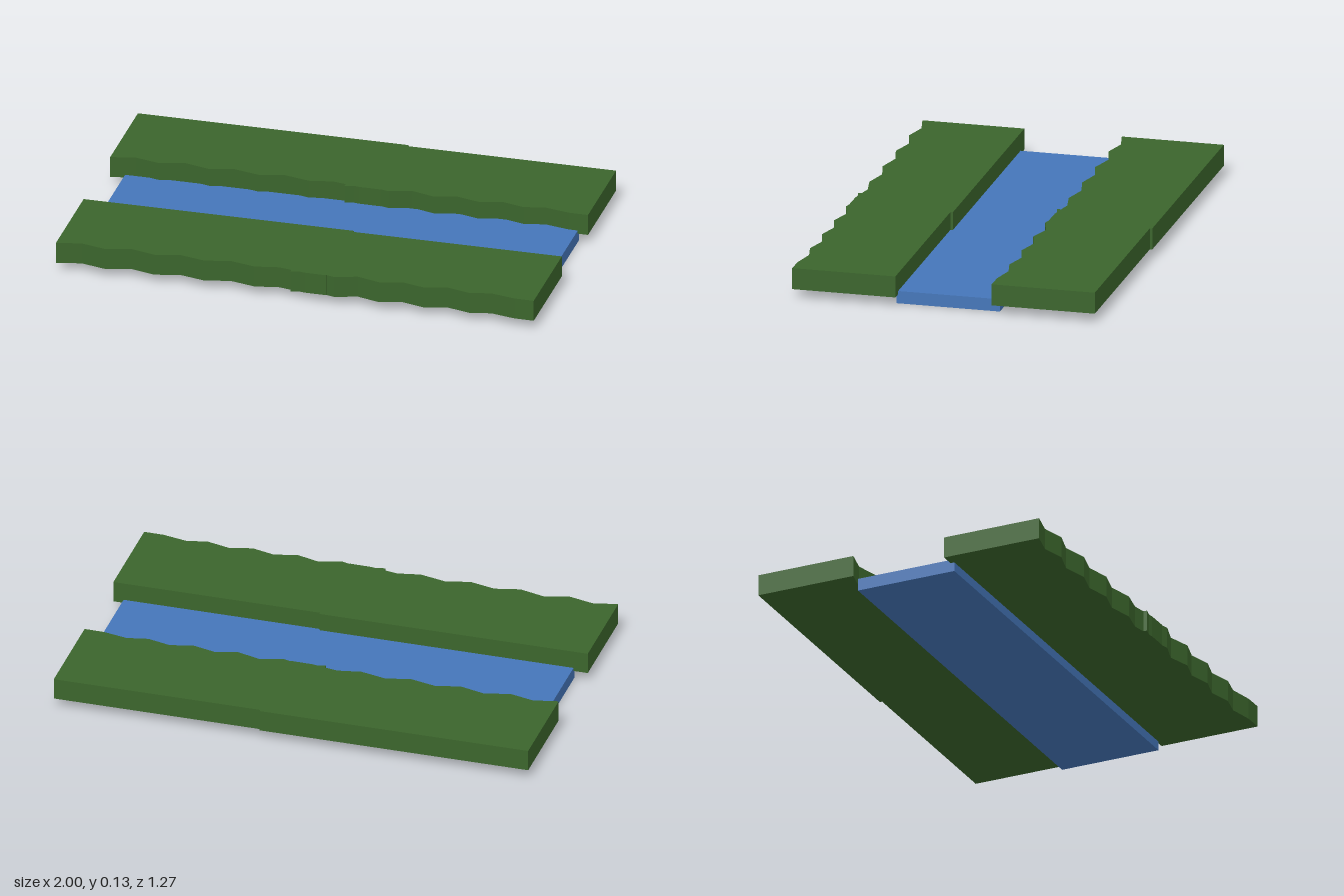
import * as THREE from 'three';

const TOP = 0.127, BOTTOM = 0.038;

// Front edge of one bank piece: [fraction of length, depth from the straight back edge]
const EDGE = [
  [0, 0.425], [0.09, 0.402], [0.18, 0.427], [0.27, 0.399], [0.365, 0.427], [0.455, 0.402],
  [0.55, 0.427], [0.64, 0.402], [0.735, 0.427], [0.82, 0.408], [0.92, 0.429], [1, 0.43],
];

// Slab with a straight back and a wavy front
function bankPiece(x0, x1, backZ, material) {
  const shape = new THREE.Shape();
  shape.moveTo(x1, backZ);
  for (const [u, d] of [...EDGE].reverse()) shape.lineTo(x0 + u * (x1 - x0), backZ + d);
  shape.lineTo(x0, backZ);
  shape.closePath();
  const geometry = new THREE.ExtrudeGeometry(shape, { depth: TOP - BOTTOM, bevelEnabled: false });
  geometry.rotateX(Math.PI / 2);
  geometry.translate(0, TOP, 0);
  return new THREE.Mesh(geometry, material);
}

export function createModel() {
  const grass = new THREE.MeshStandardMaterial({ color: 0x3b652c });
  grass.name = 'grassGreen';
  const blue = new THREE.MeshStandardMaterial({ color: 0x4576b9 });
  blue.name = 'waterBlue';

  const model = new THREE.Group();
  model.name = 'river';

  // Water bed
  const water = new THREE.Mesh(new THREE.BoxGeometry(1.897, 0.052, 0.431), blue);
  water.position.set(0.0085, 0.026, -0.0045);
  water.name = 'water';
  model.add(water);

  // Two identical banks, each of two overlapping pieces
  for (const [name, z] of [['backBank', -0.637], ['frontBank', 0.194]]) {
    const bank = new THREE.Group();
    bank.name = name;
    const long = bankPiece(-1, 0.13, z, grass);
    long.name = name + 'LongPiece';
    const short = bankPiece(-0.018, 1, z + 0.01, grass);
    short.name = name + 'ShortPiece';
    bank.add(long, short);
    model.add(bank);
  }
  return model;
}
